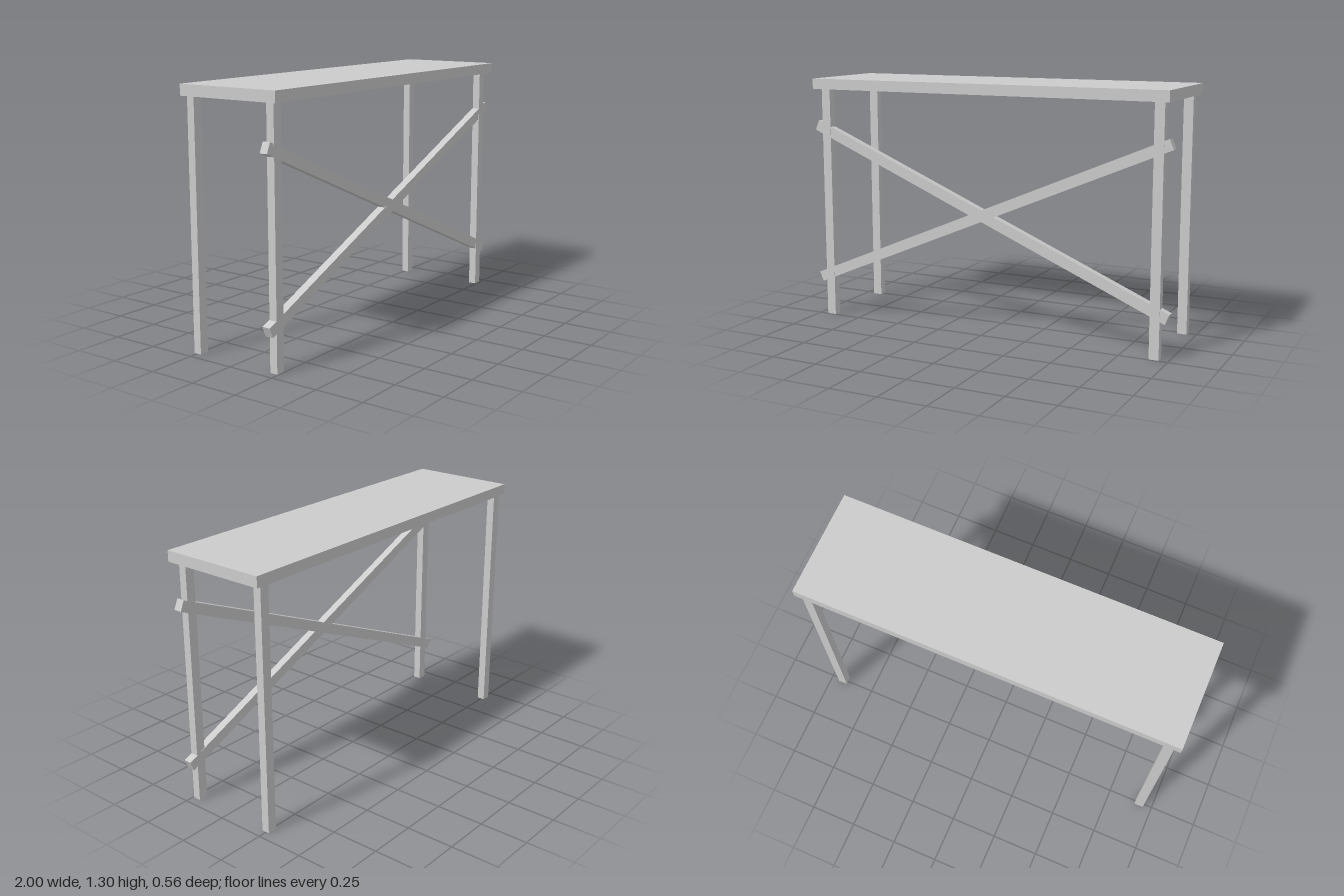
import * as THREE from 'three';

const material = new THREE.MeshStandardMaterial({ color: 0xcccccc, flatShading: true });
const legMaterial = new THREE.MeshStandardMaterial({ color: 0xcccccc, flatShading: true, side: THREE.DoubleSide });

function addBox(parent, name, size, position, tilt = 0) {
  const mesh = new THREE.Mesh(new THREE.BoxGeometry(...size), material);
  mesh.name = name;
  mesh.position.set(...position);
  mesh.rotation.z = tilt;
  parent.add(mesh);
  return mesh;
}

export function createModel() {
  const table = new THREE.Group();
  table.name = 'consoleTable';

  // Flat slab top
  addBox(table, 'tableTop', [1.97, 0.055, 0.56], [0, 1.27, 0]);

  // Four square legs, hollow and open at the foot
  const legHeight = 1.243;
  for (const [sideName, x] of [['left', 0.928], ['right', -0.928]]) {
    for (const [endName, z] of [['Front', 0.224], ['Back', -0.247]]) {
      const leg = addBox(table, sideName + endName + 'Leg', [0.05, legHeight, 0.041], [x, legHeight / 2, z]);
      const faces = Array.from(leg.geometry.index.array);
      faces.splice(18, 6); // bottom face
      leg.geometry.setIndex(faces);
      leg.geometry.clearGroups();
      leg.material = legMaterial;
    }
  }

  // Crossed braces between the front legs, running just past them
  const angle = THREE.MathUtils.degToRad(22.99);
  addBox(table, 'risingBrace', [2.149, 0.055, 0.043], [0, 0.626, 0.222], angle);
  addBox(table, 'fallingBrace', [2.149, 0.055, 0.041], [0, 0.626, 0.2225], -angle);

  return table;
}
